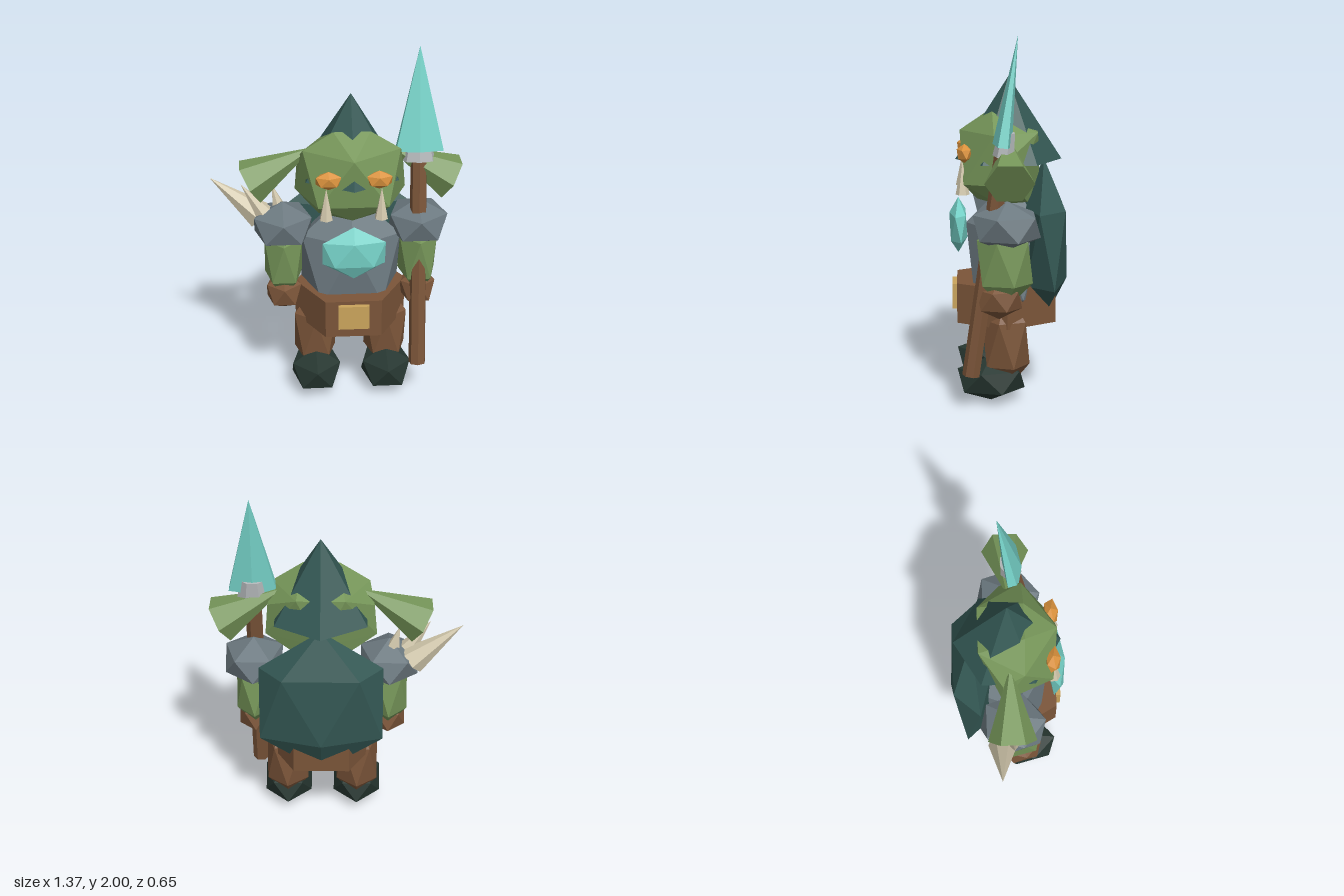
import * as THREE from 'three';
import { ConvexGeometry } from 'three/addons/geometries/ConvexGeometry.js';

const mat = (name, color) => {
  const m = new THREE.MeshStandardMaterial({ color });
  m.flatShading = true;
  m.name = name;
  return m;
};

const CX = 0.08; // mirror plane of the body

export function createModel() {
  const root = new THREE.Group();
  root.name = 'goblinWarrior';

  const skin = mat('skinGreen', 0x769659);
  const teal = mat('clothTeal', 0x335753);
  const dark = mat('bootDark', 0x263630);
  const iron = mat('armourGrey', 0x6c7980);
  const leather = mat('leatherBrown', 0x7b5539);
  const crystal = mat('crystalCyan', 0x76d2c8);
  const amber = mat('eyeAmber', 0xd9913c);
  const gold = mat('buckleGold', 0xcaa45c);
  const bone = mat('boneIvory', 0xd4caae);
  const steel = mat('collarSteel', 0xb2b6b8);

  const add = (name, geo, material, x = 0, y = 0, z = 0, parent = root) => {
    const m = new THREE.Mesh(geo, material);
    m.name = name;
    m.position.set(x, y, z);
    parent.add(m);
    return m;
  };

  // icosahedron standing on a vertex, stretched to the given radii
  const lump = (rx, ry, rz) => new THREE.IcosahedronGeometry(1)
    .rotateZ(-Math.atan2(0.526, 0.851))
    .rotateY(-Math.PI / 2)
    .scale(rx, ry, rz);

  // cone running from a base centre to its tip
  const spike = (name, from, to, r, sides, material) => {
    const a = new THREE.Vector3(...from), b = new THREE.Vector3(...to);
    const d = b.clone().sub(a), mid = a.clone().add(b).multiplyScalar(0.5);
    const m = add(name, new THREE.ConeGeometry(r, d.length(), sides), material, mid.x, mid.y, mid.z);
    m.quaternion.setFromUnitVectors(new THREE.Vector3(0, 1, 0), d.normalize());
    return m;
  };

  // head: flat brow, broad jaw, shallow back that sits under the hat
  const headPoints = [
    [0, 1.47, 0.265], [0, 1.2, -0.17], [0, 1.09, 0.17],
    ...[-1, 1].flatMap((s) => [
      [s * 0.1, 1.575, 0.09],
      [s * 0.265, 1.47, 0.085], [s * 0.13, 1.47, -0.155],
      [s * 0.19, 1.2, 0.245], [s * 0.305, 1.2, -0.03], [s * 0.29, 1.38, -0.03],
      [s * 0.18, 1.09, 0.06], [s * 0.11, 1.09, -0.1],
    ]),
  ];
  add('head', new ConvexGeometry(headPoints.map((p) => new THREE.Vector3(...p))), skin, CX);
  add('hat', new THREE.ConeGeometry(0.29, 0.45, 6), teal, CX, 1.535, 0);

  // torso, belt, chest crystal and cloak
  add('torso', lump(0.32, 0.42, 0.26), iron, CX, 0.77, 0);
  add('belt', new THREE.CylinderGeometry(0.31, 0.31, 0.22, 6).rotateY(Math.PI / 6), leather, CX, 0.54, 0.015);
  add('buckle', new THREE.BoxGeometry(0.17, 0.14, 0.05), gold, CX, 0.56, 0.285);
  add('chestCrystal', lump(0.2, 0.155, 0.055), crystal, CX, 0.945, 0.275);
  add('cloak', lump(0.4, 0.46, 0.145), teal, CX, 0.85, -0.195);

  // paired parts
  for (const s of [-1, 1]) {
    const side = s > 0 ? 'left' : 'right';
    const X = (d) => CX + s * d;
    spike(side + 'Ear', [X(0.55), 1.265, 0.01], [X(0.2), 1.46, 0.01], 0.13, 6, skin);
    add(side + 'Eye', lump(0.08, 0.052, 0.045), amber, X(0.135), 1.36, 0.24);
    spike(side + 'Tusk', [X(0.148), 1.14, 0.25], [X(0.148), 1.32, 0.25], 0.038, 6, bone);
    add(side + 'Shoulder', lump(0.185, 0.135, 0.2), iron, X(0.375), 1.01, 0.02);
    add(side + 'Arm', lump(0.122, 0.26, 0.165), skin, X(0.375), 0.82, 0.03);
    add(side + 'Hand', lump(0.112, 0.11, 0.135), leather, X(0.375), 0.62, 0.06);
    add(side + 'Leg', lump(0.138, 0.28, 0.145), leather, X(0.2), 0.335, 0.02);
    add(side + 'Boot', lump(0.158, 0.125, 0.205), dark, X(0.2), 0.13, 0.1);
  }

  // bone spikes on the right shoulder
  spike('largeShoulderSpike', [-0.42, 1.04, -0.04], [-0.69, 1.27, -0.05], 0.08, 6, bone);
  spike('middleShoulderSpike', [-0.39, 1.07, 0.02], [-0.52, 1.255, 0.02], 0.055, 6, bone);
  spike('smallShoulderSpike', [-0.31, 1.08, -0.01], [-0.35, 1.235, -0.01], 0.045, 6, bone);

  // spear, leaning back; the collar and shaft end show behind the point
  const spear = new THREE.Group();
  spear.name = 'spear';
  spear.position.set(0.45, 0.2, 0.21);
  spear.rotation.x = -0.143;
  root.add(spear);
  add('spearShaft', new THREE.CylinderGeometry(0.046, 0.048, 1.28, 7), leather, 0, 0.64, 0, spear);
  add('spearCollar', new THREE.CylinderGeometry(0.065, 0.092, 0.13, 7).scale(1, 1, 0.65), steel, 0, 1.255, -0.005, spear);
  add('spearPoint', new THREE.ConeGeometry(0.15, 0.57, 6).scale(1, 1, 0.34), crystal, 0, 1.535, 0.012, spear);

  return root;
}
